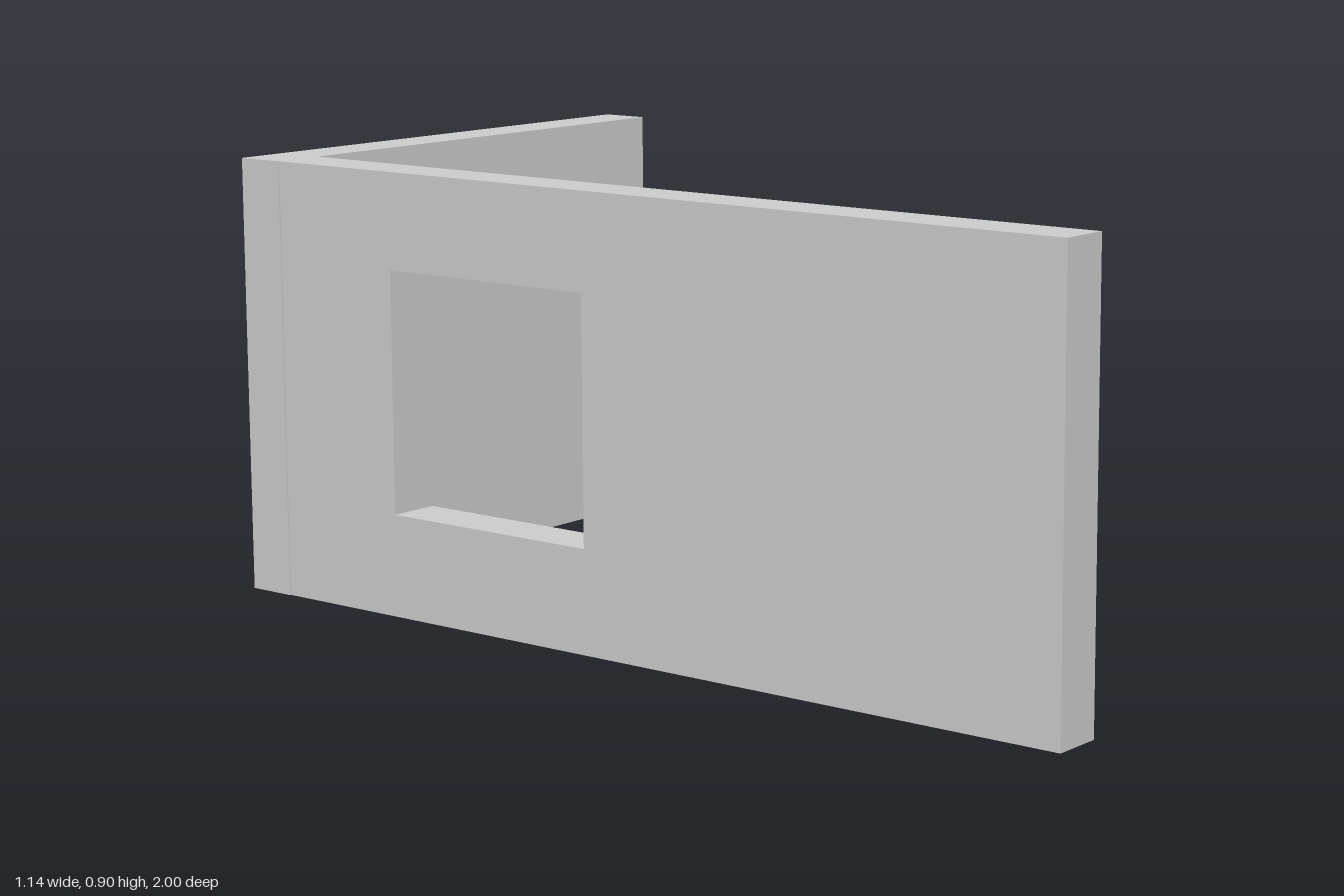
import * as THREE from 'three';

const HEIGHT = 0.9;
const BACK_FRONT_Z = -0.895; // inner face of the back wall

// Closed rectangle from two opposite corners
function rectangle(path, x0, y0, x1, y1) {
  path.moveTo(x0, y0);
  path.lineTo(x1, y0);
  path.lineTo(x1, y1);
  path.lineTo(x0, y1);
  path.closePath();
  return path;
}

export function createModel() {
  const group = new THREE.Group();
  group.name = 'cornerWalls';
  const material = new THREE.MeshStandardMaterial({ color: 0xcccccc, flatShading: true });

  // Plain wall across the back
  const backDepth = BACK_FRONT_Z + 1;
  const backWall = new THREE.Mesh(new THREE.BoxGeometry(1.14, HEIGHT, backDepth), material);
  backWall.name = 'backWall';
  backWall.position.set(0, HEIGHT / 2, -1 + backDepth / 2);
  group.add(backWall);

  // Long side wall with a window opening, drawn in z and y, extruded towards -x
  const outline = rectangle(new THREE.Shape(), BACK_FRONT_Z, 0, 1, HEIGHT);
  outline.holes.push(rectangle(new THREE.Path(), -0.59, 0.21, -0.09, 0.705));
  const sideGeometry = new THREE.ExtrudeGeometry(outline, { depth: 0.107, bevelEnabled: false });
  sideGeometry.rotateY(-Math.PI / 2);
  const sideWall = new THREE.Mesh(sideGeometry, material);
  sideWall.name = 'windowWall';
  sideWall.position.x = -0.46;
  group.add(sideWall);

  return group;
}
